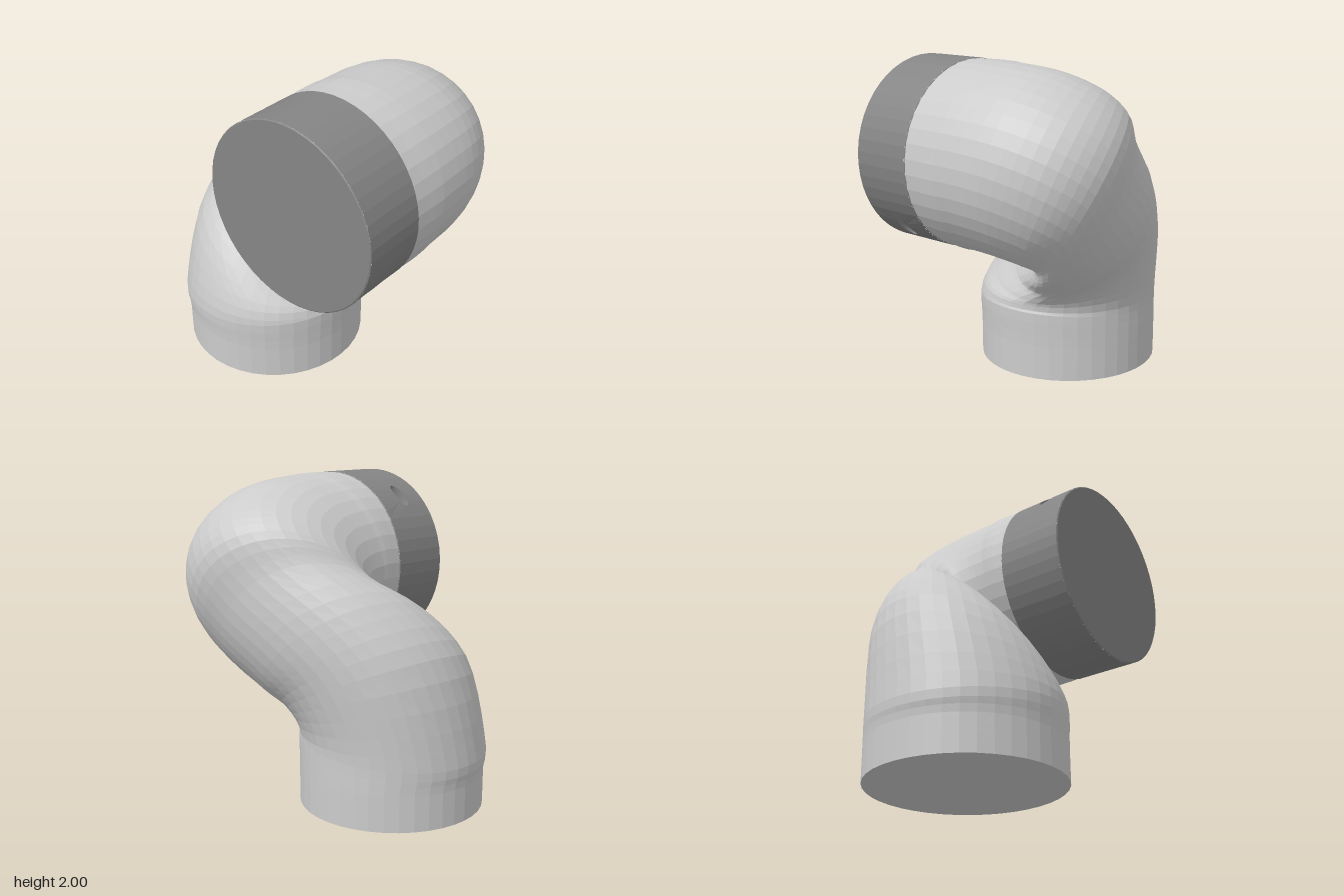
import * as THREE from 'three';

const V = (x, y, z) => new THREE.Vector3(x, y, z);
const R = 0.575;

// Skin a list of equally long rows of points
function loft(rows) {
  const n = rows[0].length, pos = [], idx = [];
  rows.forEach(row => row.forEach(p => pos.push(p.x, p.y, p.z)));
  for (let i = 0; i < rows.length - 1; i++) {
    for (let j = 0; j < n - 1; j++) {
      const a = i * n + j, c = a + n;
      idx.push(a, a + 1, c, a + 1, c + 1, c);
    }
  }
  const g = new THREE.BufferGeometry();
  g.setAttribute('position', new THREE.Float32BufferAttribute(pos, 3));
  g.setIndex(idx);
  g.computeVertexNormals();
  return g;
}

const range = (n, f) => Array.from({ length: n + 1 }, (_, i) => f(i / n));

function part(name, geometry, color) {
  const mesh = new THREE.Mesh(geometry, new THREE.MeshStandardMaterial({ color, flatShading: true }));
  mesh.name = name;
  return mesh;
}

// Elbow pipe: each section is given by its outer point, inner point and side axis
function elbowPipe() {
  const foot = y => [V(-0.34 - 0.092, y, 0.15 - 0.568), V(-0.34 + 0.092, y, 0.15 + 0.568), V(-0.567, 0, 0.088)];
  const bend = (uo, zo, ui, zi, s) => [
    V(0.335 + 0.75 * uo, 1.425 + 0.66 * uo, zo),
    V(0.335 + 0.75 * ui, 1.425 + 0.66 * ui, zi),
    V(-0.66 * s, 0.75 * s, 0)];
  const sections = [
    foot(0), foot(0.22), foot(0.45),
    [V(-0.32, 0.8, -0.5), V(-0.27, 0.72, 0.6), V(-0.52, 0.24, 0.05)],
    [V(-0.12, 1.03, -0.6), V(-0.22, 0.88, 0.4), V(-0.42, 0.36, 0.03)],
    [V(0.2, 1.27, -0.69), V(-0.16, 0.94, 0.21), V(-0.36, 0.4, 0)],
    bend(0.1, -0.745, -0.65, 0.11, 0.54),
    bend(0.33, -0.63, -0.61, 0.09, 0.56),
    bend(0.5, -0.36, -0.59, 0.13, 0.57),
    bend(0.565, 0, -0.575, 0.21, 0.572),
    bend(0.572, 0.335, -0.572, 0.335, 0.572),
  ];
  const [outer, inner, side] = [0, 1, 2].map(k => new THREE.CatmullRomCurve3(sections.map(s => s[k])));
  const rows = range(40, t => {
    const o = outer.getPoint(t), i = inner.getPoint(t), w = side.getPoint(t);
    const c = o.clone().add(i).multiplyScalar(0.5), e = o.clone().sub(c);
    return range(40, s => c.clone()
      .addScaledVector(e, Math.cos(s * 2 * Math.PI))
      .addScaledVector(w, Math.sin(s * 2 * Math.PI)));
  });
  // closed foot
  rows.unshift(rows[0].map(() => V(-0.34, 0, 0.15)));
  return part('elbowPipe', loft(rows), 0xcccccc);
}

// End collar with two opposite oval sockets
function collar() {
  const group = new THREE.Group();
  group.name = 'collar';
  const color = 0x858585, z0 = 0.335, z1 = 0.735, half = 0.3;
  const at = (a, r, z) => V(0.335 + r * Math.cos(a), 1.425 + r * Math.sin(a), z);
  const turn = profile => loft(profile.map(([r, z]) => range(48, t => at(t * 2 * Math.PI, r, z))));
  group.add(part('collarBackRim', turn([[0.5, 0.33], [0.57, 0.33], [R, z0]]), color));
  group.add(part('collarFace', turn([[R, z1], [0.568, 0.74], [0, 0.74]]), color));
  for (const mid of [2.292, 2.292 - Math.PI]) {
    // plain wall between the sockets
    group.add(part('collarWall', loft([z0, z1].map(z =>
      range(20, t => at(mid + half + t * (Math.PI - 2 * half), R, z)))), color));
    // wall patch running into the socket
    const loop = (ha, hz, zc, r, square) => range(32, t => {
      const c = Math.cos(t * 2 * Math.PI), s = Math.sin(t * 2 * Math.PI);
      const k = square ? 1 / Math.max(Math.abs(c), Math.abs(s)) : 1;
      return at(mid + ha * c * k, r, zc + hz * s * k);
    });
    group.add(part('collarSocket', loft([
      loop(half, 0.2, 0.535, R, true),
      loop(0.157, 0.04, 0.55, R),
      loop(0.14, 0.036, 0.55, 0.5),
      loop(0, 0, 0.55, 0.5),
    ]), color));
  }
  return group;
}

export function createModel() {
  const model = new THREE.Group();
  model.name = 'pipeElbow';
  model.add(elbowPipe(), collar());
  return model;
}
